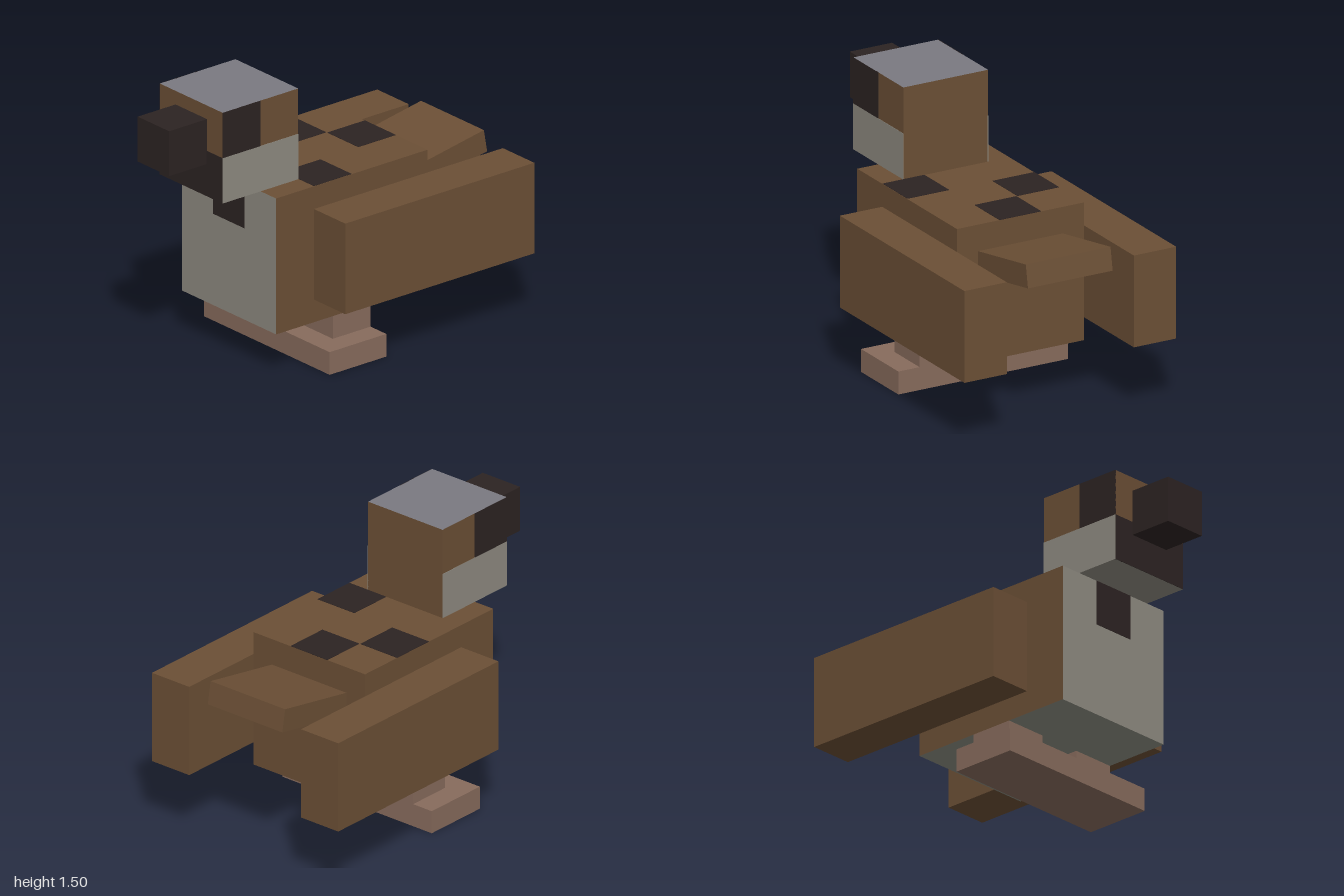
import * as THREE from 'three';

const material = (name, color) => {
  const m = new THREE.MeshStandardMaterial({ color });
  m.name = name;
  return m;
};

export function createModel() {
  const model = new THREE.Group();
  model.name = 'blockBird';

  const brown = material('brownFeathers', 0x6b4f35);
  const dark = material('darkFeathers', 0x2c2322);
  const pale = material('paleBelly', 0x8e8a80);
  const under = material('undersideGrey', 0x8c8e82);
  const cap = material('crownGrey', 0x7a7980);
  const pink = material('pinkLegs', 0x876b5c);

  // Box given by its [min, max] extent on each axis
  function box(name, mat, [x0, x1], [y0, y1], [z0, z1], parent = model) {
    const mesh = new THREE.Mesh(new THREE.BoxGeometry(x1 - x0, y1 - y0, z1 - z0), mat);
    mesh.position.set((x0 + x1) / 2, (y0 + y1) / 2, (z0 + z1) / 2);
    mesh.name = name;
    parent.add(mesh);
    return mesh;
  }
  // Thin extent for a painted plate lying on a face
  const skin = (v) => [v - 0.002, v + 0.002];

  // Body: pale front, grey underside (face order +x -x +y -y +z -z)
  box('body', [brown, brown, brown, under, pale, brown], [-0.375, 0.375], [0.25, 1], [-0.5, 0.5]);
  box('throatPatch', dark, [-0.125, 0.125], [0.755, 1], skin(0.5));

  // Dark spots on the back
  for (const [x, z] of [[-0.122, -0.5], [-0.375, -0.25], [0.127, 0]]) {
    box('backSpot', dark, [x, x + 0.246], skin(1), [z, z + 0.248]);
  }

  // Head with painted face
  const head = new THREE.Group();
  head.name = 'head';
  model.add(head);
  box('skull', [brown, brown, cap, pale, brown, brown], [-0.25, 0.25], [1, 1.5], [0.25, 0.75], head);
  box('chin', dark, [-0.25, 0.25], [1, 1.25], skin(0.75), head);
  box('beak', dark, [-0.125, 0.125], [1.177, 1.425], [0.75, 1], head);

  for (const side of [-1, 1]) {
    const label = side > 0 ? 'left' : 'right';
    const span = (a, b) => (side > 0 ? [a, b] : [-b, -a]);
    box(label + 'Cheek', pale, skin(side * 0.25), [1, 1.25], [0.25, 0.75], head);
    box(label + 'EyePatch', dark, skin(side * 0.25), [1.25, 1.5], [0.5, 0.75], head);
    box(label + 'Wing', brown, span(0.375, 0.625), [0.375, 0.875], [-1, 0.25]);
    box(label + 'Leg', pink, span(0.125, 0.375), [0.125, 0.25], [-0.125, 0.125]);
    box(label + 'Foot', pink, span(0, 0.5), [0, 0.125], [-0.125, 0.25]);
  }

  // Tail, tilted up towards the rear
  const tail = box('tail', brown, [-0.25, 0.25], [0.7725, 0.8975], [-0.993, -0.493]);
  tail.rotation.x = THREE.MathUtils.degToRad(10);

  return model;
}
